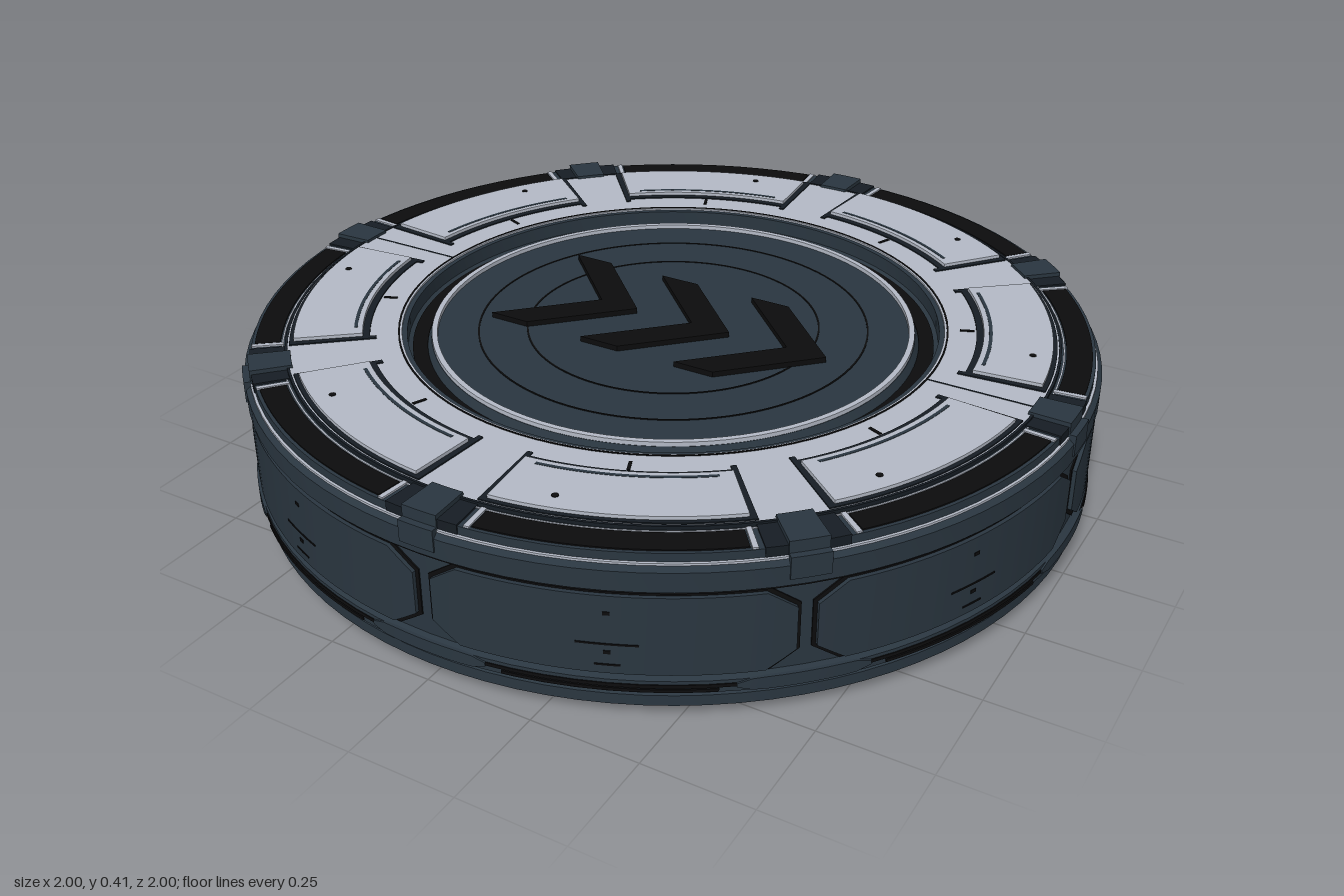
import * as THREE from 'three';
import { toCreasedNormals } from 'three/addons/utils/BufferGeometryUtils.js';

const mat = (color) => new THREE.MeshStandardMaterial({ color });
const dark = mat(0x2a3640), deep = mat(0x161d24), black = mat(0x0c0c0d), light = mat(0xb4bac6);
const RAD = Math.PI / 180;

function add(parent, name, geometry, material) {
  const mesh = new THREE.Mesh(geometry, material);
  mesh.name = name;
  parent.add(mesh);
  return mesh;
}

// Turned solid with crisp profile edges; points run bottom to top
function turned(points) {
  const g = new THREE.LatheGeometry(points.map(([r, y]) => new THREE.Vector2(r, y)), 96);
  return toCreasedNormals(g, 0.4);
}

// Square-section ring
const ring = (r0, r1, y0, y1) => turned([[r0, y0], [r1, y0], [r1, y1], [r0, y1], [r0, y0]]);

// Box bent around the y axis: angles in degrees from +z toward +x.
// chamfer (degrees, height) cuts the four corners.
function bent(a0, a1, r0, r1, y0, y1, chamfer) {
  const segs = Math.max(1, Math.round((a1 - a0) / 1.75));
  const g = new THREE.BoxGeometry(1, 1, 1, segs, 1, 1);
  const p = g.attributes.position;
  for (let i = 0; i < p.count; i++) {
    const u = p.getX(i) + 0.5;
    const a = (a0 + (a1 - a0) * u) * RAD;
    const r = r0 + (r1 - r0) * (p.getZ(i) + 0.5);
    let h = y1 - y0;
    if (chamfer) {
      const toEnd = Math.min(u, 1 - u) * (a1 - a0);
      h -= 2 * chamfer[1] * Math.max(0, 1 - toEnd / chamfer[0]);
    }
    p.setXYZ(i, r * Math.sin(a), (y0 + y1) / 2 + p.getY(i) * h, r * Math.cos(a));
  }
  g.computeVertexNormals();
  return g;
}

function buildHull(model) {
  add(model, 'foot', turned([[0, 0], [0.94, 0], [0.94, 0.03], [0, 0.03]]), deep);
  add(model, 'hull', turned([
    [0, 0.02], [0.965, 0.02], [0.985, 0.03], [0.985, 0.055], [0.965, 0.062], [0.965, 0.07],
    [0.995, 0.07], [0.995, 0.098], [0.982, 0.105], [0.982, 0.302], [0.997, 0.31], [0.997, 0.355],
    [0.985, 0.365], [0.98, 0.366], [0.98, 0.388], [0.9, 0.388], [0.9, 0.36], [0.632, 0.36],
    [0.615, 0.35], [0.58, 0.35], [0.57, 0.372], [0, 0.372],
  ]), dark);
  add(model, 'lowerSeam', ring(0.96, 0.997, 0.082, 0.09), black);
  add(model, 'upperSeam', ring(0.97, 0.99, 0.302, 0.307), black);
  add(model, 'rimTrim', ring(0.97, 0.986, 0.363, 0.369), light);
}

function buildTop(model) {
  add(model, 'deck', ring(0.637, 0.902, 0.355, 0.395), light);
  add(model, 'deckInnerCurb', ring(0.625, 0.64, 0.35, 0.391), dark);
  add(model, 'deckGroove', ring(0.642, 0.646, 0.39, 0.3965), black);
  add(model, 'channel', ring(0.58, 0.615, 0.345, 0.353), black);
  add(model, 'centerTrim', ring(0.556, 0.569, 0.36, 0.382), light);
  add(model, 'deckOuterLine', ring(0.897, 0.903, 0.38, 0.3965), deep);
  add(model, 'slotTrim', ring(0.907, 0.911, 0.38, 0.39), light);
  for (const r of [0.345, 0.46]) add(model, 'centerLine', ring(r - 0.002, r + 0.002, 0.37, 0.3735), black);

  // Three raised chevrons pointing to +x
  const arrow = new THREE.Shape([
    [0, 0.19], [0.1, 0.19], [0.29, 0], [0.1, -0.19], [0, -0.19], [0.19, 0],
  ].map(([x, y]) => new THREE.Vector2(x, y)));
  for (let i = 0; i < 3; i++) {
    const g = new THREE.ExtrudeGeometry(arrow, { depth: 0.015, bevelEnabled: false });
    g.rotateX(-Math.PI / 2).translate(-0.39 + i * 0.25, 0.37, 0);
    add(model, 'chevron', g, black);
  }
  // Deck joints on the x axis
  for (const s of [-1, 1]) {
    const g = new THREE.BoxGeometry(0.25, 0.003, 0.004);
    add(model, 'deckJoint', g.translate(s * 0.77, 0.3945, 0), deep);
  }
}

// One eighth of the repeating parts, spanning 0 to 45 degrees
function buildSegment() {
  const s = new THREE.Group();
  s.name = 'segment';

  // Deck panel inside a dark groove
  add(s, 'panelGroove', bent(4.6, 40.4, 0.71, 0.893, 0.385, 0.398), deep);
  add(s, 'deckPanel', bent(5.6, 39.4, 0.726, 0.883, 0.39, 0.406), light);
  for (const a of [4.6, 39.4]) add(s, 'grooveEnd', bent(a, a + 1, 0.695, 0.72, 0.385, 0.398), deep);
  add(s, 'panelLine', bent(8, 37, 0.738, 0.746, 0.4, 0.4068), dark);
  add(s, 'deckTick', bent(22.2, 22.8, 0.672, 0.705, 0.39, 0.397), black);
  const rivet = new THREE.CylinderGeometry(0.008, 0.008, 0.006, 10);
  rivet.translate(0.84 * Math.sin(14 * RAD), 0.4042, 0.84 * Math.cos(14 * RAD));
  add(s, 'deckRivet', rivet, black);

  // Rim slot with light end strips
  add(s, 'rimSlot', bent(6.6, 38.4, 0.914, 0.972, 0.38, 0.391), black);
  for (const a of [5.7, 38.6]) add(s, 'slotEnd', bent(a, a + 0.7, 0.906, 0.978, 0.38, 0.392), light);

  // Rim clamp: centre block, side wings and outer lip
  add(s, 'clampWings', bent(-5, 5, 0.895, 0.982, 0.37, 0.392), deep);
  add(s, 'clampBlock', bent(-2.4, 2.4, 0.89, 0.985, 0.37, 0.402), dark);
  add(s, 'clampLip', bent(-2.4, 2.4, 0.97, 1, 0.325, 0.375), dark);
  add(s, 'footClamp', bent(-8, 8, 0.97, 0.999, 0.071, 0.1, [2, 0.01]), dark);

  // Side panel with cut corners and its markings
  add(s, 'sidePanelGroove', bent(0.7, 44.3, 0.97, 0.985, 0.107, 0.3, [3.5, 0.042]), black);
  add(s, 'sidePanel', bent(1.2, 43.8, 0.975, 0.994, 0.112, 0.295, [3.5, 0.042]), dark);
  const marks = [[0.255, 0.4, 0.008], [0.182, 3.6, 0.004], [0.163, 0.4, 0.008], [0.133, 1.5, 0.004]];
  for (const [y, half, h] of marks) {
    add(s, 'sideMark', bent(22.5 - half, 22.5 + half, 0.985, 0.9955, y - h / 2, y + h / 2), black);
  }
  add(s, 'footSlot', bent(10, 35, 0.97, 0.998, 0.073, 0.08), black);
  return s;
}

export function createModel() {
  const model = new THREE.Group();
  model.name = 'roundPad';
  buildHull(model);
  buildTop(model);
  const segment = buildSegment();
  for (let i = 0; i < 8; i++) {
    const copy = segment.clone();
    copy.rotation.y = i * Math.PI / 4;
    model.add(copy);
  }
  return model;
}
